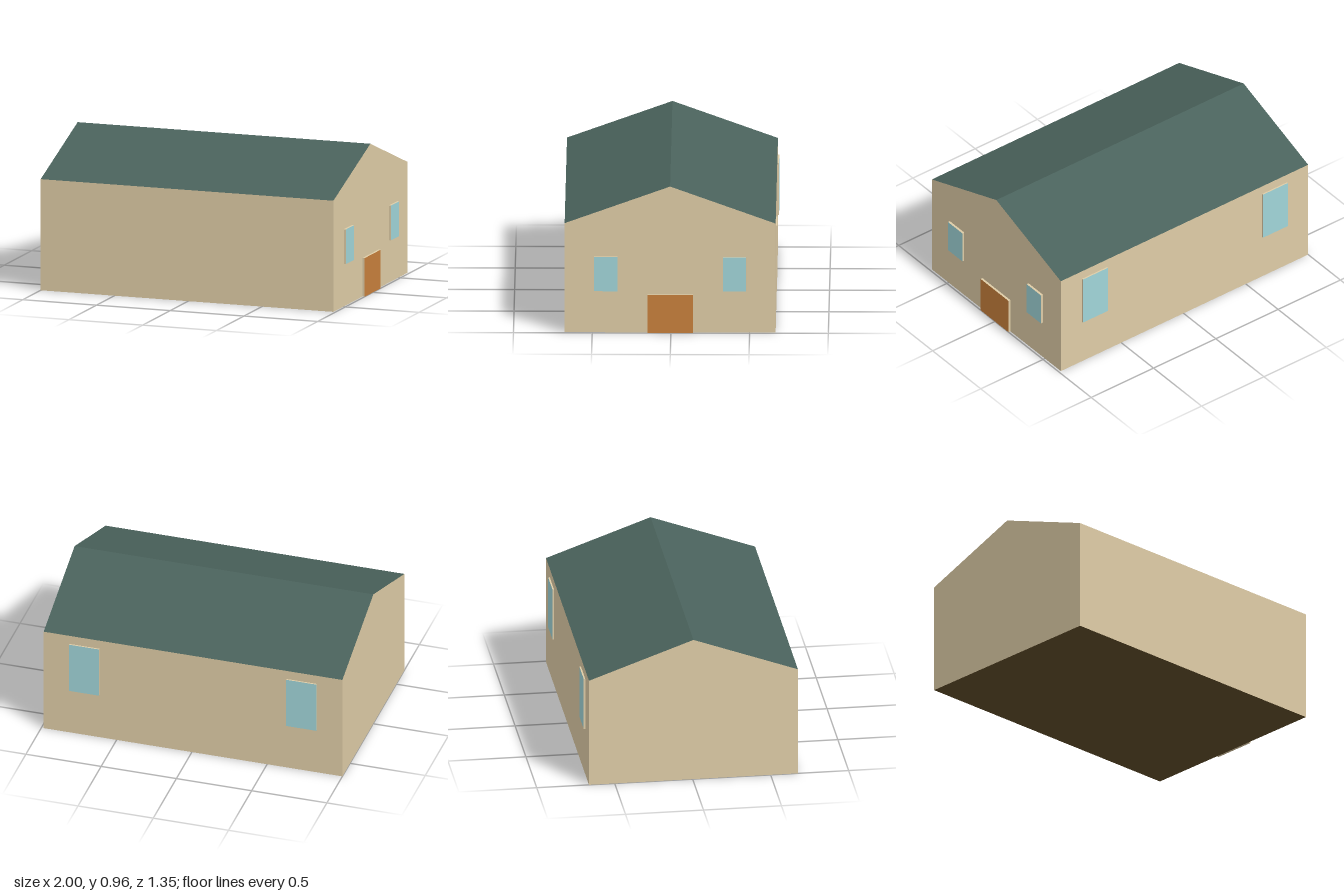
import * as THREE from 'three';

const paint = (color) => new THREE.MeshStandardMaterial({ color, flatShading: true });

// Flat convex panel from corners listed counter-clockwise as seen from outside
function panel(name, corners, material) {
  const positions = [];
  for (let i = 1; i < corners.length - 1; i++) {
    positions.push(...corners[0], ...corners[i], ...corners[i + 1]);
  }
  const geometry = new THREE.BufferGeometry();
  geometry.setAttribute('position', new THREE.Float32BufferAttribute(positions, 3));
  geometry.computeVertexNormals();
  const mesh = new THREE.Mesh(geometry, material);
  mesh.name = name;
  return mesh;
}

export function createModel() {
  const house = new THREE.Group();
  house.name = 'house';
  const wall = paint(0xdecca6);
  const roof = paint(0x4a625c);
  const glass = paint(0xa0d5d8);
  const wood = paint(0xc8803c);
  const ground = paint(0x5e4a28);

  const left = 0.985, right = -1, front = 0.675, back = -0.665;
  const eaves = 0.72, ridge = 0.963, mid = (front + back) / 2;

  // Cross-section, counter-clockwise as seen from +x
  const section = [[0, front], [0, back], [eaves, back], [ridge, mid], [eaves, front]];
  house.add(
    panel('leftGable', section.map(([y, z]) => [left, y, z]), wall),
    panel('rightGable', section.map(([y, z]) => [right, y, z]).reverse(), wall)
  );

  // Floor, long walls and roof slopes span between the gables
  const strips = [
    ['floor', ground], ['backWall', wall], ['backRoof', roof],
    ['frontRoof', roof], ['frontWall', wall],
  ];
  strips.forEach(([name, material], i) => {
    const [y0, z0] = section[i];
    const [y1, z1] = section[(i + 1) % section.length];
    house.add(panel(name, [[left, y0, z0], [right, y0, z0], [right, y1, z1], [left, y1, z1]], material));
  });

  // Shallow raised fittings: wall-coloured rims, coloured outer face
  const fitting = (name, size, position, outerFace, material) => {
    const materials = Array(6).fill(wall);
    materials[outerFace] = material;
    const mesh = new THREE.Mesh(new THREE.BoxGeometry(...size), materials);
    mesh.name = name;
    mesh.position.set(...position);
    house.add(mesh);
  };
  const depth = 0.015;
  fitting('door', [depth, 0.25, 0.29], [left + depth / 2, 0.125, 0.004], 0, wood);
  for (const z of [0.413, -0.404]) {
    fitting('gableWindow', [depth, 0.225, 0.149], [left + depth / 2, 0.3875, z], 0, glass);
  }
  for (const x of [-0.73, 0.715]) {
    fitting('backWindow', [0.2, 0.345, 0.01], [x, 0.4875, back - 0.005], 5, glass);
  }
  return house;
}
